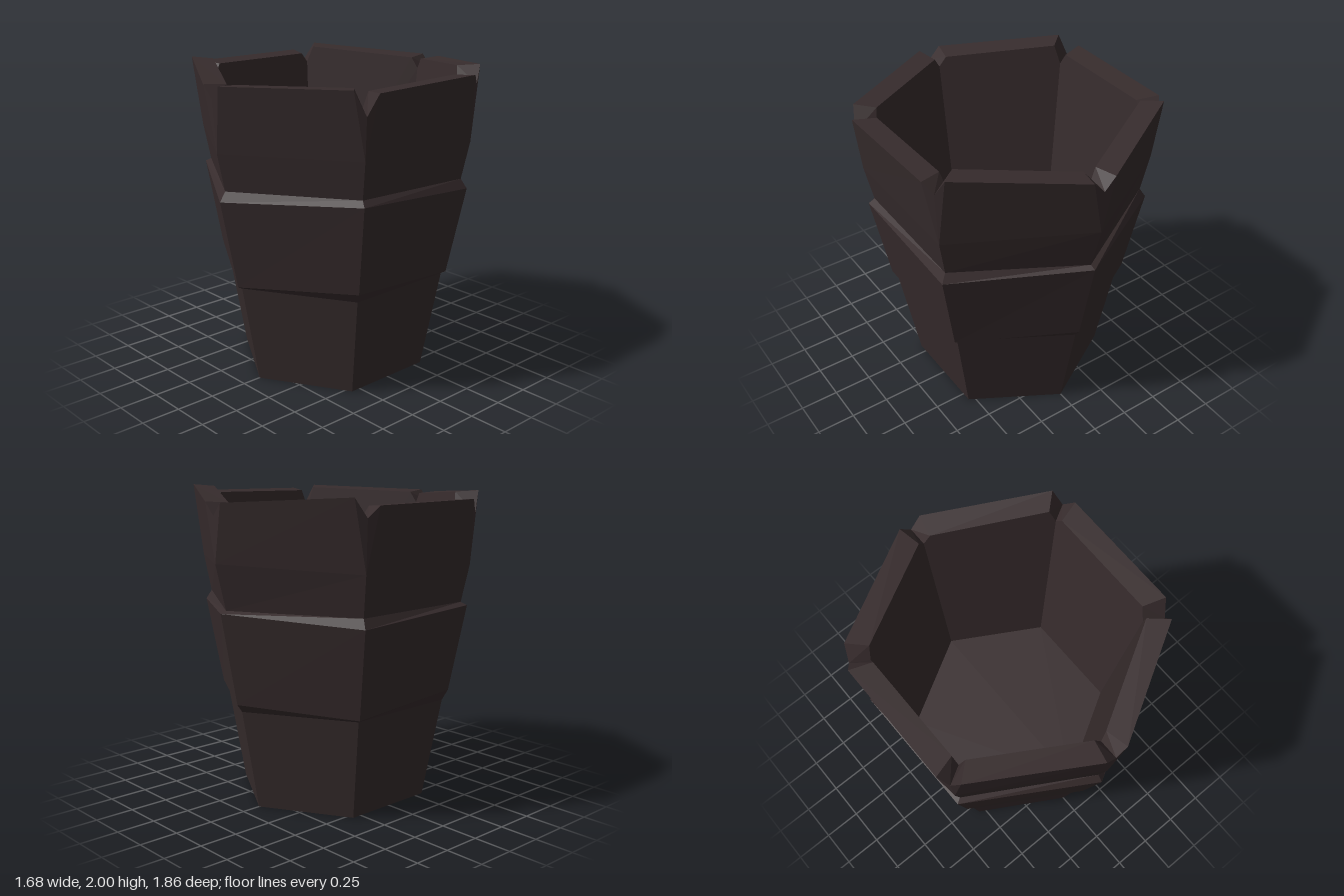
import * as THREE from 'three';

const clay = new THREE.MeshStandardMaterial({ color: 0x372c2d });
clay.name = 'dark clay';

// Corner 0 points to +z, the next ones go round by way of +x
const corner = (i, r, y) => {
  const a = (i % 6) * Math.PI / 3;
  return new THREE.Vector3(Math.sin(a) * r, y, Math.cos(a) * r);
};
const ring = (r, ys) => [0, 1, 2, 3, 4, 5].map(i => corner(i, r, Array.isArray(ys) ? ys[i] : ys));

// Flat-shaded mesh from convex polygons, each split as a fan
function facets(name, polygons) {
  const points = [];
  for (const p of polygons)
    for (let k = 1; k < p.length - 1; k++) points.push(p[0], p[k], p[k + 1]);
  const geometry = new THREE.BufferGeometry().setFromPoints(points);
  geometry.computeVertexNormals();
  const mesh = new THREE.Mesh(geometry, clay);
  mesh.name = name;
  return mesh;
}

// Quads between two hexagonal rings, facing outwards
const band = (low, high) => low.map((p, i) => {
  const j = (i + 1) % 6;
  return [p, low[j], high[j], high[i]];
});

export function createModel() {
  const group = new THREE.Group();
  group.name = 'hexagonalPot';

  // Rings of the outer profile, with uneven heights at the corners
  const foot = ring(0.625, 0);
  const waist = ring(0.745, 0.65);
  const bandLow = [0.665, 0.71, 0.665, 0.70, 0.665, 0.72]
    .map((y, i) => corner(i, 0.775 + (y - 0.665) * 0.15, y));
  const bandHigh = ring(0.89, [1.235, 1.28, 1.23, 1.28, 1.235, 1.275]);
  const neck = ring(0.85, [1.295, 1.315, 1.29, 1.295, 1.295, 1.295]);
  const split = [1.53, 1.55, 1.53, 1.58, 1.55, 1.53].map((y, i) => corner(i, i === 3 ? 0.92 : 0.9, y));

  group.add(facets('lowerBody', [[...foot].reverse(), ...band(foot, waist)]));
  group.add(facets('middleBand', [
    ...band(waist, bandLow), ...band(bandLow, bandHigh), ...band(bandHigh, neck),
  ]));

  // The hollow tapers evenly from the rim down to the floor
  const floorY = 0.65, floorR = 0.645;
  const innerR = y => floorR + (0.81 - floorR) * (y - floorY) / (1.94 - floorY);

  // Six rim panels, chipped where they meet; heights at the start and end of each
  const startY = [1.94, 1.94, 2.0, 1.94, 1.94, 1.985];
  const endY = [1.96, 1.955, 1.94, 1.985, 1.94, 1.935];
  const along = (i, r, t, y) => corner(i, r, y).lerp(corner(i + 1, r, y), t);
  const tops = startY.map((y0, i) => {
    const y1 = endY[i], drop = 0.01;
    return {
      so: along(i, 0.97, 0.085, y0), eo: along(i, 0.97, 0.91, y1),
      si: along(i, innerR(y0 - drop), 0.06, y0 - drop),
      ei: along(i, innerR(y1 - drop), 0.94, y1 - drop),
    };
  });
  const notchY = [1.86, 1.81, 1.89, 1.86, 1.87, 1.85];
  const notchOut = ring(0.925, notchY);
  const notchIn = notchY.map((y, i) => corner(i, innerR(y), y));
  const floor = ring(floorR, floorY);

  const walls = band(neck, split), rim = [], notches = [], inner = [];
  for (let i = 0; i < 6; i++) {
    const j = (i + 1) % 6;
    const t = tops[i], prev = tops[(i + 5) % 6];
    walls.push([split[i], split[j], t.eo, t.so]);
    rim.push([t.so, t.eo, t.ei, t.si]);
    // Chipped face below the notch, then the groove across the rim
    notches.push([split[i], notchOut[i], prev.eo], [split[i], t.so, notchOut[i]]);
    notches.push([notchOut[i], t.so, t.si, notchIn[i]], [notchOut[i], notchIn[i], prev.ei, prev.eo]);
    inner.push([floor[j], floor[i], notchIn[i], t.si, t.ei, notchIn[j]]);
  }
  group.add(facets('upperWalls', walls));
  group.add(facets('rim', rim));
  group.add(facets('cornerNotches', notches));
  group.add(facets('innerWalls', inner));
  group.add(facets('innerFloor', [floor]));
  return group;
}
